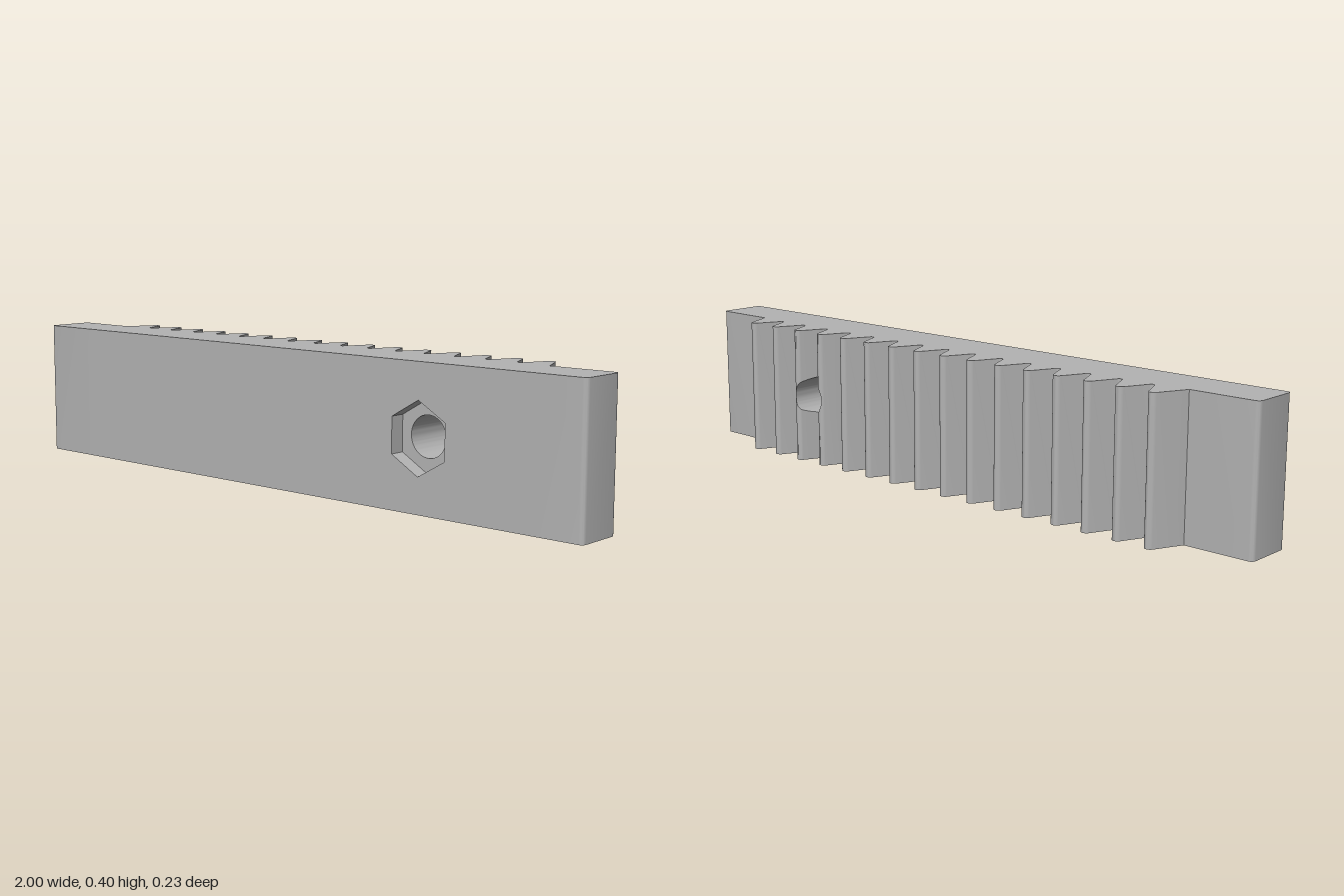
import * as THREE from 'three';
import { toCreasedNormals } from 'three/addons/utils/BufferGeometryUtils.js';

const HEIGHT = 0.4, FRONT = 0.117, BACK = -0.027, CORNER = 0.013;
const TEETH = 16, PITCH = 0.1;
const CX = 0.5, CY = 0.2, HOLE_R = 0.057, HEX_W = 0.0866, HEX_R = 0.1, FLOOR = FRONT - 0.045;

// Toothed back edge in plan, as [x, z] points from left to right
function toothProfile() {
  const half = [];
  const steps = [0, 0.25, 0.5, 0.75, 1].map((s) => s * 66 * Math.PI / 180);
  for (const a of steps) half.push([0.014 * Math.sin(a), -0.104 - 0.014 * Math.cos(a)]); // rounded tip
  for (const a of [...steps].reverse()) half.push([0.05 - 0.008 * Math.sin(a), -0.045 + 0.008 * Math.cos(a)]); // rounded root
  const outer = [...half.slice(0, 5), [0.05, BACK]]; // straight flank beside the plain ends
  const points = [];
  for (let i = 0; i < TEETH; i++) {
    const c = (i - (TEETH - 1) / 2) * PITCH;
    const left = i === 0 ? outer : half, right = i === TEETH - 1 ? outer : half;
    for (const [x, z] of left.slice(1).reverse()) points.push([c - x, z]);
    for (const [x, z] of right) points.push([c + x, z]);
  }
  return points;
}

export function createModel() {
  const steel = new THREE.MeshStandardMaterial({ color: 0xb3b3b3 });
  steel.name = 'grey steel';
  const group = new THREE.Group();
  group.name = 'gearRack';

  const profile = toothProfile();
  const cornerDrop = (x) => {
    const e = Math.max(0, Math.abs(x) - (1 - CORNER));
    return CORNER - Math.sqrt(Math.max(0, CORNER * CORNER - e * e));
  };
  const frontZ = (x) => FRONT - cornerDrop(x);
  const backZ = (x) => {
    for (let i = 1; i < profile.length; i++) {
      const [x0, z0] = profile[i - 1], [x1, z1] = profile[i];
      if (x >= x0 && x <= x1) return x1 - x0 < 1e-6 ? z0 : z0 + (z1 - z0) * (x - x0) / (x1 - x0);
    }
    return BACK + cornerDrop(x);
  };
  const floorZ = () => FLOOR;

  // Half heights of the round hole and the hexagonal pocket at x
  const holeH = (x) => Math.sqrt(Math.max(0, HOLE_R ** 2 - (x - CX) ** 2));
  const hexH = (x) => HEX_R - Math.abs(x - CX) / Math.sqrt(3);

  // Column positions shared by every surface
  const raw = [...profile.map((p) => p[0]), CX - HEX_W, CX, CX + HEX_W];
  for (let i = 0; i <= 24; i++) raw.push(CX + HOLE_R * Math.cos(i * Math.PI / 24));
  for (let i = 0; i <= 5; i++) {
    const x = 1 - CORNER + CORNER * Math.sin(i * Math.PI / 10);
    raw.push(x, -x);
  }
  raw.sort((a, b) => a - b);
  const xs = raw.filter((x, i) => i === 0 || x - raw[i - 1] > 1e-5);

  const body = [], hole = [], pocket = [];
  const quad = (out, a, b, c, d, flip) => {
    const corners = flip ? [a, c, b, a, d, c] : [a, b, c, a, c, d];
    corners.forEach((p) => out.push(...p));
  };
  const flat0 = () => 0, flatTop = () => HEIGHT;
  // Upright strip between two heights; faces +z, or -z when flipped
  const upright = (out, a, b, lo, hi, z, flip) =>
    quad(out, [a, lo(a), z(a)], [b, lo(b), z(b)], [b, hi(b), z(b)], [a, hi(a), z(a)], flip);
  // Strip running from back to front; faces down, or up when flipped
  const level = (out, a, b, y, zb, zf, flip) =>
    quad(out, [a, y(a), zb(a)], [b, y(b), zb(b)], [b, y(b), zf(b)], [a, y(a), zf(a)], flip);
  const above = (h) => (x) => CY + h(x);
  const below = (h) => (x) => CY - h(x);

  for (let i = 1; i < xs.length; i++) {
    const a = xs[i - 1], b = xs[i], off = Math.abs((a + b) / 2 - CX);
    const inHole = off < HOLE_R, inHex = off < HEX_W;

    // Top and bottom
    level(body, a, b, flat0, backZ, frontZ, false);
    level(body, a, b, flatTop, backZ, frontZ, true);

    // Toothed back, and the hole cut through it
    if (inHole) {
      upright(body, a, b, flat0, below(holeH), backZ, true);
      upright(body, a, b, above(holeH), flatTop, backZ, true);
      level(hole, a, b, above(holeH), backZ, floorZ, false);
      level(hole, a, b, below(holeH), backZ, floorZ, true);
    } else {
      upright(body, a, b, flat0, flatTop, backZ, true);
    }

    // Front, and the hexagonal pocket sunk into it
    if (inHex) {
      upright(body, a, b, flat0, below(hexH), frontZ, false);
      upright(body, a, b, above(hexH), flatTop, frontZ, false);
      level(pocket, a, b, above(hexH), floorZ, frontZ, false);
      level(pocket, a, b, below(hexH), floorZ, frontZ, true);
      if (inHole) {
        upright(pocket, a, b, below(hexH), below(holeH), floorZ, false);
        upright(pocket, a, b, above(holeH), above(hexH), floorZ, false);
      } else {
        upright(pocket, a, b, below(hexH), above(hexH), floorZ, false);
      }
    } else {
      upright(body, a, b, flat0, flatTop, frontZ, false);
    }
  }

  // Side walls at constant x; face +x, or -x when flipped
  const side = (out, x, y0, y1, zb, zf, flip) =>
    quad(out, [x, y0, zf], [x, y0, zb], [x, y1, zb], [x, y1, zf], flip);
  for (const s of [-1, 1]) {
    side(body, s, 0, HEIGHT, BACK + CORNER, FRONT - CORNER, s < 0);
    side(pocket, CX + s * HEX_W, CY - HEX_R / 2, CY + HEX_R / 2, FLOOR, FRONT, s > 0);
  }

  const addPart = (name, positions) => {
    const geometry = new THREE.BufferGeometry();
    geometry.setAttribute('position', new THREE.Float32BufferAttribute(positions, 3));
    const mesh = new THREE.Mesh(toCreasedNormals(geometry, 0.6), steel);
    mesh.name = name;
    group.add(mesh);
  };
  addPart('toothedBar', body);
  addPart('boltHole', hole);
  addPart('nutPocket', pocket);
  return group;
}
